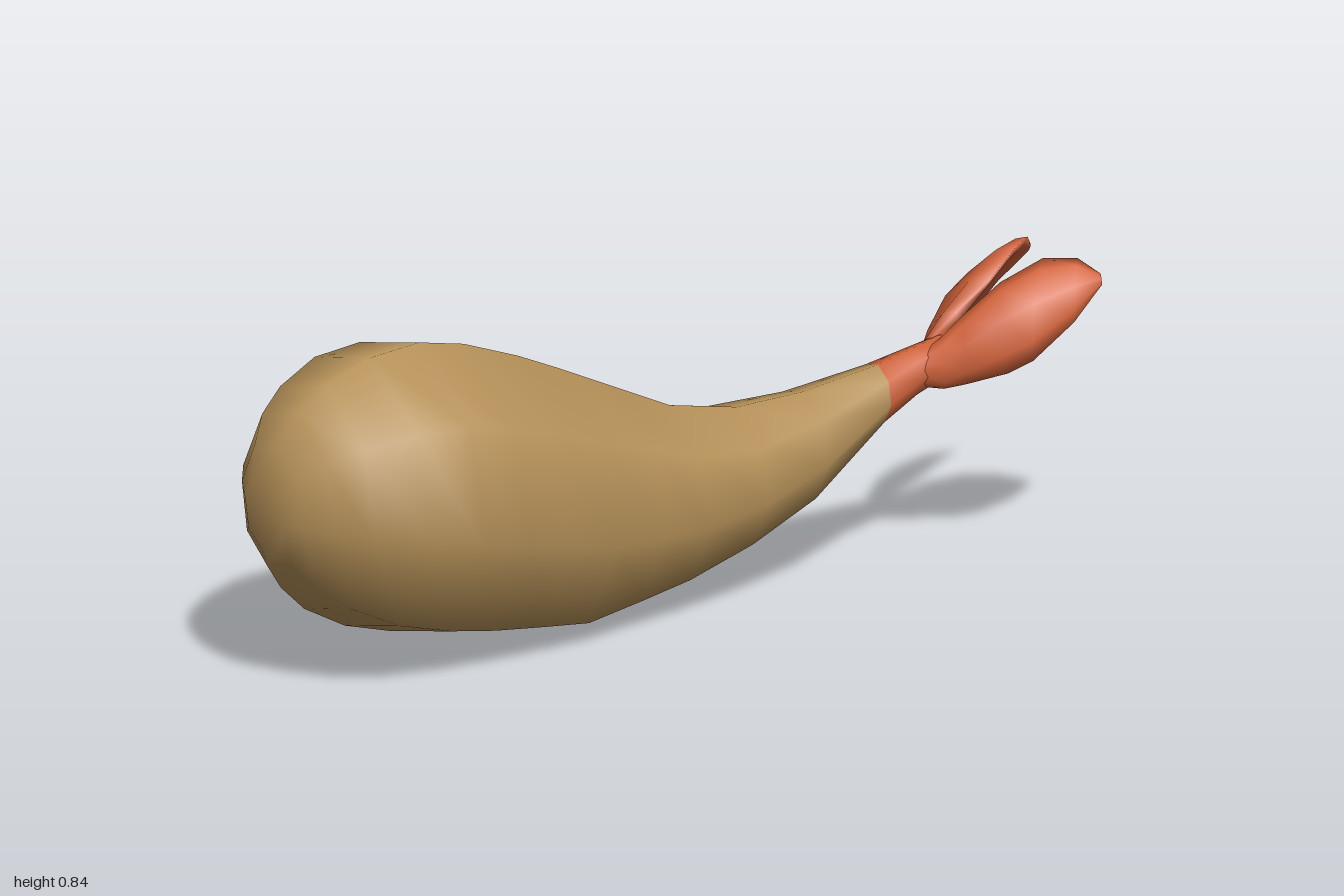
import * as THREE from 'three';

const bodyMat = new THREE.MeshStandardMaterial({ color: 0xb8935a });
bodyMat.name = 'tan';
const tailMat = new THREE.MeshStandardMaterial({ color: 0xd0623a });
tailMat.name = 'coral';

// Skin a list of rings (running from +z to -z) with smooth normals.
// Rows from splitRow on go into the second material group.
function loft(rings, splitRow = rings.length) {
  const n = rings[0].length;
  const centre = (ring) => ring.reduce((s, p) => s.add(p), new THREE.Vector3()).divideScalar(n);
  const points = [...rings.flat(), centre(rings[0]), centre(rings.at(-1))];
  const first = rings.length * n, last = first + 1;
  const index = [];
  let split = 0;
  for (let j = 0; j < n; j++) index.push(first, j, (j + 1) % n);
  for (let i = 0; i < rings.length - 1; i++) {
    if (i === splitRow) split = index.length;
    for (let j = 0; j < n; j++) {
      const a = i * n + j, b = i * n + (j + 1) % n;
      index.push(a, a + n, b, b, a + n, b + n);
    }
  }
  const end = (rings.length - 1) * n;
  for (let j = 0; j < n; j++) index.push(last, end + (j + 1) % n, end + j);
  const geo = new THREE.BufferGeometry().setFromPoints(points);
  geo.setIndex(index);
  if (split) {
    geo.addGroup(0, split, 0);
    geo.addGroup(split, index.length - split, 1);
  }
  geo.computeVertexNormals();
  return geo;
}

// Body stations: distance toward the tail, bottom, top, half width, sideways offset
const BODY = [
  [-1.21, 0.37, 0.56, 0.085, -0.035],
  [-1.185, 0.32, 0.645, 0.13, -0.04],
  [-1.135, 0.25, 0.72, 0.195, -0.04],
  [-1.06, 0.18, 0.78, 0.255, -0.035],
  [-0.93, 0.11, 0.833, 0.318, -0.035],
  [-0.78, 0.065, 0.843, 0.337, -0.045],
  [-0.64, 0.04, 0.812, 0.34, -0.053],
  [-0.47, 0.018, 0.748, 0.317, -0.058],
  [-0.33, 0, 0.685, 0.288, -0.063],
  [-0.15, 0.03, 0.6, 0.25, -0.062],
  [0, 0.06, 0.53, 0.215, -0.055],
  [0.2, 0.12, 0.49, 0.168, -0.043],
  [0.4, 0.205, 0.495, 0.121, -0.03],
  [0.62, 0.37, 0.525, 0.07, -0.017],
  [0.72, 0.425, 0.55, 0.05, -0.008],
  [0.8, 0.46, 0.575, 0.035, 0.008],
];

// Eight-sided body, rolled slightly about its length
function buildBody() {
  const sides = 8, roll = -0.175, grow = 1.015;
  const rings = BODY.map(([u, bottom, top, half, offset]) =>
    Array.from({ length: sides }, (_, j) => {
      const a = (j / sides) * Math.PI * 2 + roll;
      return new THREE.Vector3(
        offset + half * grow * Math.cos(a),
        (top + bottom) / 2 + ((top - bottom) / 2) * grow * Math.sin(a),
        -u);
    }));
  return new THREE.Mesh(loft(rings, 13), [bodyMat, tailMat]);
}

// Fluke stations: lower edge (x, y, z), upper edge (x, y, z), half thickness, outward bow
const FLUKE = [
  [[0.012, 0.455, -0.72], [0.006, 0.525, -0.72], 0.02, 0],
  [[0.045, 0.445, -0.785], [0.022, 0.57, -0.79], 0.03, 0.005],
  [[0.085, 0.46, -0.825], [0.03, 0.62, -0.855], 0.032, 0.02],
  [[0.155, 0.492, -0.9], [0.045, 0.69, -0.955], 0.032, 0.038],
  [[0.185, 0.522, -0.955], [0.092, 0.747, -1.05], 0.028, 0.034],
  [[0.212, 0.61, -1.06], [0.148, 0.75, -1.115], 0.018, 0.018],
  [[0.207, 0.69, -1.148], [0.195, 0.715, -1.152], 0.004, 0],
];

function buildFluke(mirror) {
  const sides = 8;
  // The mirror plane swings gently sideways toward the tips
  const place = ([x, y, z]) => new THREE.Vector3(mirror ? 0.2 * (-z - 0.7) - x : x, y, z);
  const lower = FLUKE.map((s) => place(s[0]));
  const upper = FLUKE.map((s) => place(s[1]));
  const mids = lower.map((p, i) => p.clone().add(upper[i]).multiplyScalar(0.5));
  const rings = mids.map((mid, i) => {
    const [, , thick, bow] = FLUKE[i];
    const half = upper[i].clone().sub(mid);
    const travel = mids[Math.min(i + 1, mids.length - 1)].clone().sub(mids[Math.max(i - 1, 0)]);
    const normal = half.clone().cross(travel).normalize();
    const outward = mirror ? bow : -bow;
    return Array.from({ length: sides }, (_, j) => {
      const a = (j / sides) * Math.PI * 2, s = Math.sin(a);
      return mid.clone().addScaledVector(half, Math.cos(a))
        .addScaledVector(normal, thick * s + outward * s * s);
    });
  });
  return new THREE.Mesh(loft(rings), tailMat);
}

export function createModel() {
  const model = new THREE.Group();
  model.name = 'whaleBody';
  const swimmer = new THREE.Group();
  swimmer.name = 'bodyAndTail';

  // Rounded body tapering into the coral tail stalk
  const body = buildBody();
  body.name = 'body';
  swimmer.add(body);

  // Pair of raised, cupped tail flukes
  for (const mirror of [false, true]) {
    const fluke = buildFluke(mirror);
    fluke.name = mirror ? 'rightFluke' : 'leftFluke';
    swimmer.add(fluke);
  }

  // Turn the head toward the front right
  swimmer.rotation.y = -0.835;
  model.add(swimmer);
  return model;
}
